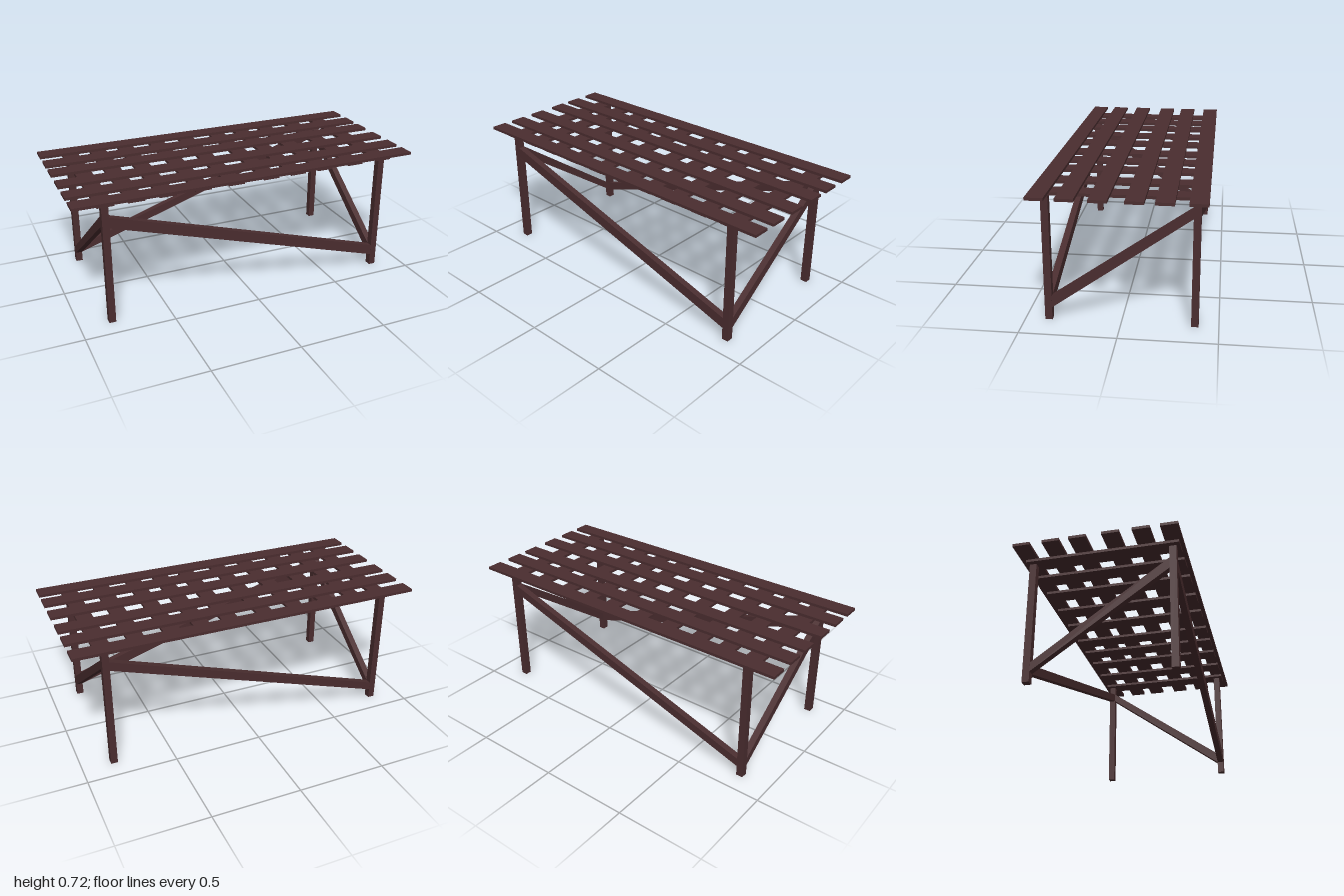
import * as THREE from 'three';

const LEG = 0.038;        // leg thickness
const LEG_X = 0.824;
const LEG_Z = 0.378;
const SLAT = 0.092;       // slat width
const SLAT_H = 0.0152;    // slat thickness
const LEG_TOP = 0.69;

export function createModel() {
  const model = new THREE.Group();
  model.name = 'slattedTable';
  const wood = new THREE.MeshStandardMaterial({ color: 0x4a2d2f });

  function add(name, geometry, x = 0, y = 0, z = 0) {
    const mesh = new THREE.Mesh(geometry, wood);
    mesh.name = name;
    mesh.position.set(x, y, z);
    model.add(mesh);
  }

  // Long top slats
  for (const z of [0.389, 0.245, 0.086, -0.088, -0.231, -0.389]) {
    add('topSlat', new THREE.BoxGeometry(2, SLAT_H, SLAT), 0, LEG_TOP + SLAT_H * 1.5, z);
  }

  // Cross slats beneath them
  for (const x of [-0.823, -0.66, -0.491, -0.294, -0.104, 0.104, 0.269, 0.439, 0.637, 0.824]) {
    add('crossSlat', new THREE.BoxGeometry(SLAT, SLAT_H, 0.826), x, LEG_TOP + SLAT_H / 2, 0.003);
  }

  // Legs, with the height range where the braces meet each one
  const corners = [
    { x: LEG_X, z: LEG_Z, low: 0.069, high: 0.131 },
    { x: LEG_X, z: -LEG_Z, low: 0.585, high: 0.636 },
    { x: -LEG_X, z: -LEG_Z, low: 0.057, high: 0.106 },
    { x: -LEG_X, z: LEG_Z, low: 0.56, high: 0.621 },
  ];
  for (const c of corners) {
    add('leg', new THREE.BoxGeometry(LEG, LEG_TOP, LEG), c.x, LEG_TOP / 2, c.z);
  }

  // Diagonal brace with upright ends, running between two neighbouring legs
  function braceGeometry(a, b) {
    const dir = new THREE.Vector2(b.x - a.x, b.z - a.z);
    const length = dir.length() - LEG;
    dir.normalize();
    const geometry = new THREE.BoxGeometry(1, 1, 1);
    const p = geometry.attributes.position;
    for (let i = 0; i < p.count; i++) {
      const t = p.getX(i) + 0.5;
      const along = LEG / 2 + t * length;
      const side = p.getZ(i) * (LEG - 0.002);
      const edge = p.getY(i) > 0 ? 'high' : 'low';
      p.setXYZ(i,
        a.x + dir.x * along - dir.y * side,
        THREE.MathUtils.lerp(a[edge], b[edge], t),
        a.z + dir.y * along + dir.x * side);
    }
    geometry.computeVertexNormals();
    return geometry;
  }
  const names = ['rightEndBrace', 'backBrace', 'leftEndBrace', 'frontBrace'];
  names.forEach((name, i) => add(name, braceGeometry(corners[i], corners[(i + 1) % 4])));

  return model;
}
